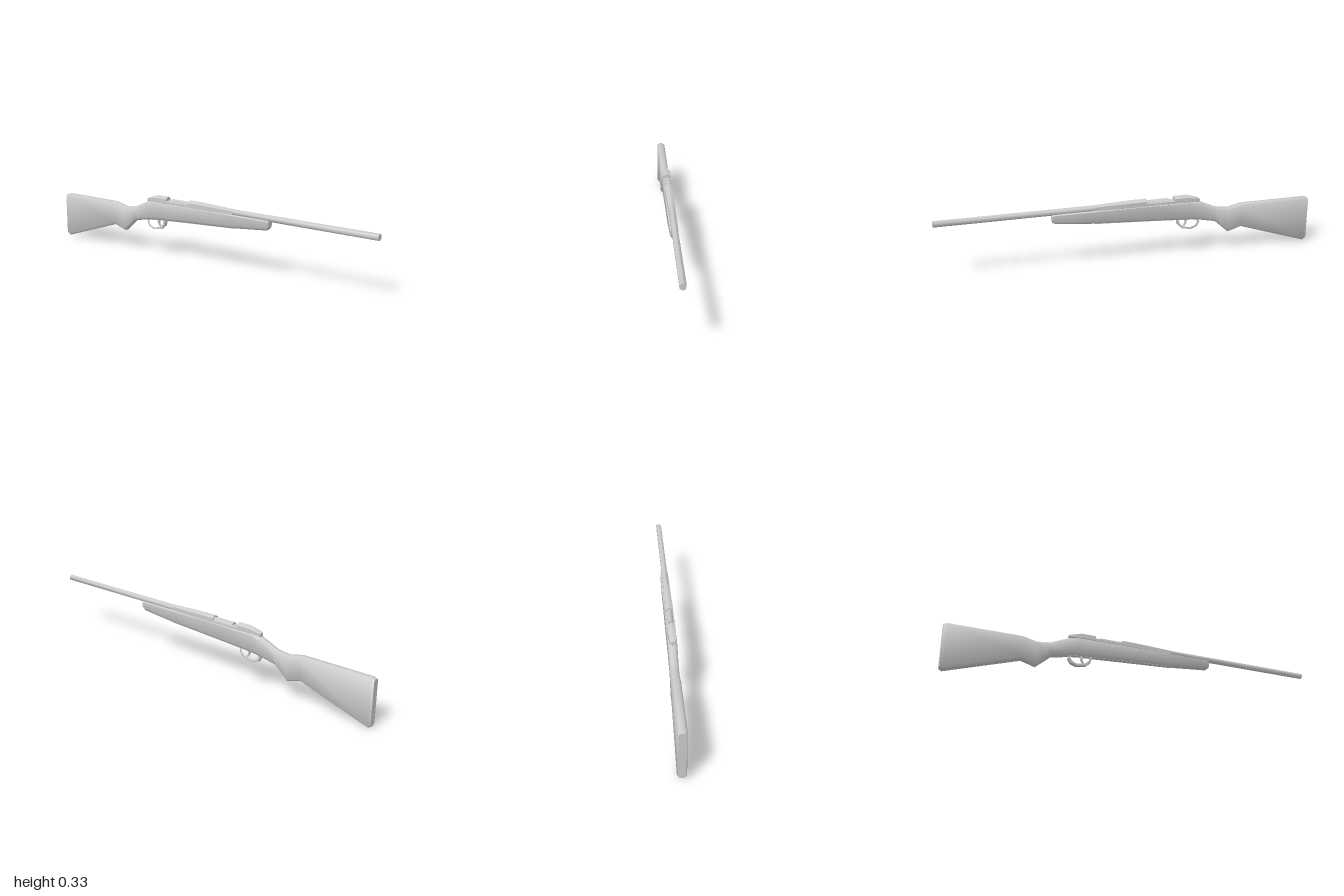
import * as THREE from 'three';
import { toCreasedNormals } from 'three/addons/utils/BufferGeometryUtils.js';

const material = new THREE.MeshStandardMaterial({ color: 0xcccccc });

// Skins a row of closed sections, listed from front to back; each is { z, ring: [[x, y], ...] }, counter-clockwise.
function loft(sections, crease) {
  const n = sections[0].ring.length;
  const positions = sections.flatMap(({ z, ring }) => ring.flatMap(([x, y]) => [x, y, z]));
  const index = [];
  for (let i = 0; i < sections.length - 1; i++) {
    for (let j = 0; j < n; j++) {
      const k = (j + 1) % n;
      const a = i * n + j, b = i * n + k, d = a + n, c = b + n;
      index.push(a, d, b, b, d, c);
    }
  }
  const last = (sections.length - 1) * n;
  for (let j = 1; j < n - 1; j++) {
    index.push(0, j, j + 1, last, last + j + 1, last + j);
  }
  const geometry = new THREE.BufferGeometry();
  geometry.setAttribute('position', new THREE.Float32BufferAttribute(positions, 3));
  geometry.setIndex(index);
  return toCreasedNormals(geometry, crease);
}

// Eight-sided section with chamfered corners
function stockSection([z, bottom, top, w, low, high]) {
  const t = w * 0.5;
  return { z, ring: [
    [w, bottom + low], [w, top - high], [t, top], [-t, top],
    [-w, top - high], [-w, bottom + low], [-t, bottom], [t, bottom],
  ] };
}

// Receiver section: pointed below, roofed above with a ridge of half width t
function receiverSection([z, w, shoulder, top, t]) {
  return { z, ring: [
    [w, 0.29], [w, shoulder], [t, top], [-t, top], [-w, shoulder], [-w, 0.29], [0, 0.28],
  ] };
}

// Side outline given as [z, y] points, extruded across x
function sidePlate(outline, hole, width) {
  const toPoints = (list) => list.map(([z, y]) => new THREE.Vector2(z, y));
  const shape = new THREE.Shape(toPoints(outline));
  if (hole) shape.holes.push(new THREE.Path(toPoints(hole)));
  const geometry = new THREE.ExtrudeGeometry(shape, { depth: width, bevelEnabled: false });
  geometry.rotateY(-Math.PI / 2);
  geometry.translate(width / 2, 0, 0);
  return geometry;
}

export function createModel() {
  const group = new THREE.Group();
  const add = (name, geometry) => {
    const mesh = new THREE.Mesh(geometry, material);
    mesh.name = name;
    group.add(mesh);
  };

  // Stock: z, bottom, top, half width, lower and upper chamfer heights
  add('stock', loft([
    [0.417, 0.252, 0.288, 0.017, 0.014, 0.004],
    [0.403, 0.241, 0.293, 0.020, 0.014, 0.006],
    [0.2, 0.222, 0.293, 0.022, 0.014, 0.006],
    [-0.1, 0.205, 0.293, 0.022, 0.014, 0.006],
    [-0.33, 0.190, 0.292, 0.022, 0.014, 0.008],
    [-0.37, 0.184, 0.283, 0.022, 0.014, 0.012],
    [-0.46, 0.165, 0.243, 0.021, 0.014, 0.014],
    [-0.49, 0.138, 0.236, 0.021, 0.013, 0.013],
    [-0.535, 0.098, 0.232, 0.021, 0.012, 0.012],
    [-0.61, 0.121, 0.249, 0.022, 0.011, 0.011],
    [-0.984, 0.000, 0.249, 0.022, 0.011, 0.011],
    [-1.0, 0.008, 0.243, 0.018, 0.009, 0.009],
  ].map(stockSection), 0.95));

  // Six-sided barrel
  const barrel = new THREE.CylinderGeometry(0.0168, 0.0168, 1.2, 6);
  barrel.rotateX(Math.PI / 2);
  barrel.translate(0, 0.301, 0.4);
  add('barrel', toCreasedNormals(barrel, 1.1));

  // Receiver: z, half width, shoulder height, ridge height, ridge half width
  add('receiverFront', loft([
    [0.2, 0.0145, 0.309, 0.318, 0.001],
    [0.0, 0.020, 0.314, 0.326, 0.001],
    [-0.08, 0.020, 0.314, 0.326, 0.001],
  ].map(receiverSection), 0.7));
  add('receiverBridge', loft([
    [-0.075, 0.019, 0.302, 0.304, 0.017],
    [-0.235, 0.019, 0.302, 0.304, 0.017],
  ].map(receiverSection), 0.7));
  add('receiverRear', loft([
    [-0.23, 0.020, 0.314, 0.326, 0.001],
    [-0.3, 0.020, 0.314, 0.326, 0.001],
    [-0.355, 0.015, 0.304, 0.309, 0.001],
    [-0.37, 0.011, 0.299, 0.303, 0.001],
  ].map(receiverSection), 0.7));

  // Guard loop, trigger and the strip under the stock
  add('triggerGuard', sidePlate(
    [[-0.244, 0.202], [-0.25, 0.166], [-0.275, 0.144], [-0.325, 0.135],
      [-0.358, 0.148], [-0.371, 0.171], [-0.365, 0.192]],
    [[-0.256, 0.194], [-0.262, 0.172], [-0.281, 0.154], [-0.322, 0.146],
      [-0.348, 0.156], [-0.358, 0.172], [-0.354, 0.185]],
    0.022));
  add('trigger', sidePlate(
    [[-0.288, 0.2], [-0.293, 0.173], [-0.283, 0.155], [-0.289, 0.154],
      [-0.302, 0.172], [-0.304, 0.2]],
    null, 0.01));
  add('floorPlate', sidePlate(
    [[0.2, 0.22], [-0.1, 0.203], [-0.26, 0.193], [-0.26, 0.203], [-0.1, 0.213], [0.2, 0.23]],
    null, 0.021));

  return group;
}
